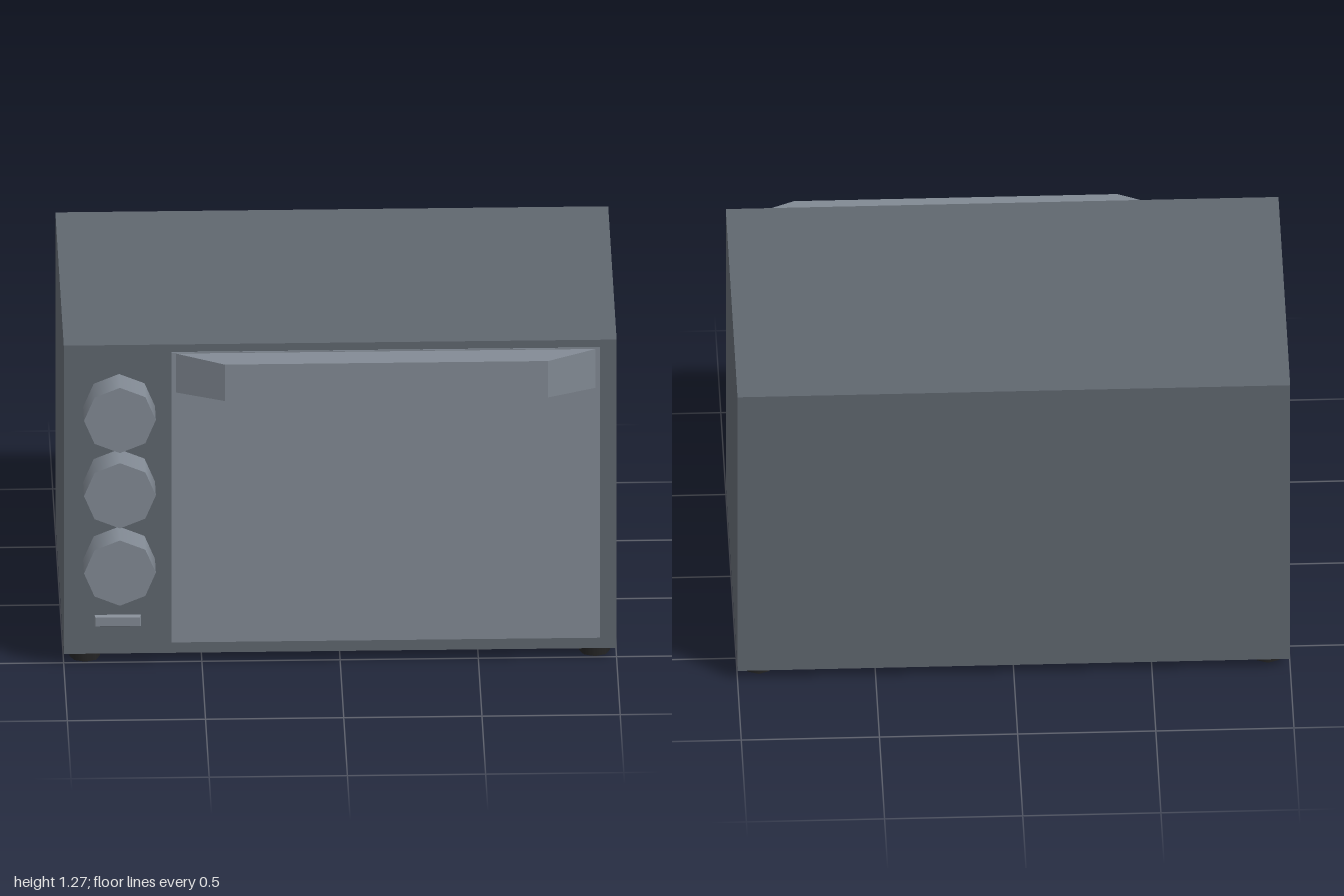
import * as THREE from 'three';

export function createModel() {
  const group = new THREE.Group();
  const makeMaterial = (name, color) => {
    const m = new THREE.MeshStandardMaterial({ color });
    m.name = name;
    return m;
  };
  const casing = makeMaterial('dark grey casing', 0x60676f);
  const trim = makeMaterial('light grey trim', 0x828a94);
  const rubber = makeMaterial('black rubber', 0x242424);

  const add = (name, geometry, material, x, y, z) => {
    const mesh = new THREE.Mesh(geometry, material);
    mesh.name = name;
    mesh.position.set(x, y, z);
    group.add(mesh);
    return mesh;
  };

  // Box whose front face is narrowed to frontW by frontH
  const taperedBox = (w, h, d, frontW, frontH) => {
    const g = new THREE.BoxGeometry(w, h, d);
    const p = g.attributes.position;
    for (let i = 0; i < p.count; i++) {
      if (p.getZ(i) > 0) p.setXY(i, p.getX(i) * frontW / w, p.getY(i) * frontH / h);
    }
    g.computeVertexNormals();
    return g;
  };

  const front = 0.515;

  // Casing and door panel
  add('casing', new THREE.BoxGeometry(2, 1.228, 1.15), casing, 0, 0.656, -0.06);
  add('door', new THREE.BoxGeometry(1.55, 1.155, 0.008), trim, 0.165, 0.6625, front);

  // Full-width door handle with angled ends
  add('doorHandle', taperedBox(1.53, 0.155, 0.092, 1.17, 0.145), trim, 0.165, 1.158, 0.562);

  // Eight-sided control knobs with a corner pointing up
  const knob = new THREE.CylinderGeometry(0.13, 0.13, 0.12, 8).rotateX(Math.PI / 2);
  [1.025, 0.725, 0.417].forEach((y) => add('knob', knob, trim, -0.8, y, front + 0.06));

  // Indicator lamp
  add('indicator', taperedBox(0.168, 0.048, 0.012, 0.16, 0.034), trim, -0.805, 0.173, 0.52);

  // Feet
  const foot = new THREE.CylinderGeometry(0.056, 0.056, 0.046, 8);
  for (const x of [-0.922, 0.922]) {
    for (const z of [0.437, -0.543]) add('foot', foot, rubber, x, 0.023, z);
  }

  return group;
}
